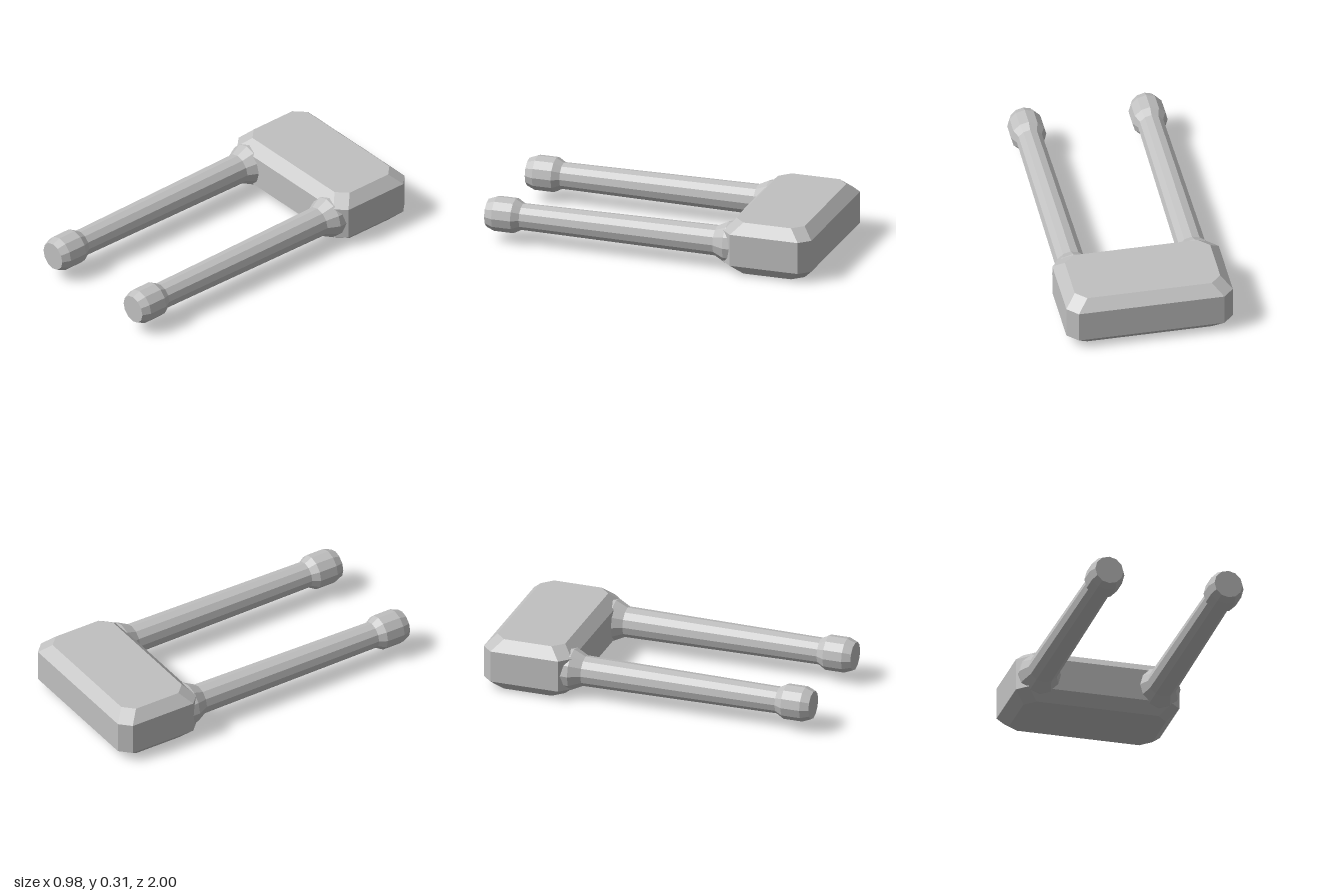
import * as THREE from 'three';
import { ConvexGeometry } from 'three/addons/geometries/ConvexGeometry.js';

const CENTRE_Y = 0.158;

// Octagonal outline (a rectangle with cut corners) at height y
function outline(halfX, halfZ, cut, y, z0) {
  const points = [];
  for (const sx of [-1, 1]) {
    for (const sz of [-1, 1]) {
      points.push(new THREE.Vector3(sx * halfX, y, z0 + sz * (halfZ - cut)));
      points.push(new THREE.Vector3(sx * (halfX - cut), y, z0 + sz * halfZ));
    }
  }
  return points;
}

// Chamfered block: inset outlines at bottom and top, full ones between
function blockGeometry() {
  const c = 0.062, h = 0.315, hx = 0.491, hz = 0.27, z0 = -0.73;
  return new ConvexGeometry([
    ...outline(hx - c, hz - c, c, 0, z0),
    ...outline(hx, hz, c, c, z0),
    ...outline(hx, hz, c, h - c, z0),
    ...outline(hx - c, hz - c, c, h, z0),
  ]);
}

// Faceted solid of revolution along z, from [radius, z] pairs
function turned(profile) {
  const points = profile.map(([r, z]) => new THREE.Vector2(r, z));
  const geometry = new THREE.LatheGeometry(points, 12).rotateX(Math.PI / 2).toNonIndexed();
  geometry.computeVertexNormals();
  return geometry;
}

export function createModel() {
  const model = new THREE.Group();
  model.name = 'twoProngBlock';
  const grey = new THREE.MeshStandardMaterial({ color: 0xc0c0c0 });
  grey.name = 'grey';

  const add = (parent, name, geometry) => {
    const mesh = new THREE.Mesh(geometry, grey);
    mesh.name = name;
    parent.add(mesh);
  };

  add(model, 'block', blockGeometry());

  // Flared socket, tapering shaft and rounded end knob
  const parts = {
    collar: turned([[0, -0.55], [0.125, -0.55], [0.125, -0.47], [0.09, -0.4]]),
    shaft: turned([[0.09, -0.4], [0.079, 0.79]]),
    knob: turned([[0.079, 0.79], [0.104, 0.835], [0.104, 0.95], [0.084, 1], [0, 1]]),
  };
  for (const side of [1, -1]) {
    const prong = new THREE.Group();
    prong.name = side > 0 ? 'leftProng' : 'rightProng';
    prong.position.set(side * 0.358, CENTRE_Y, 0);
    for (const [name, geometry] of Object.entries(parts)) add(prong, name, geometry);
    model.add(prong);
  }
  return model;
}
